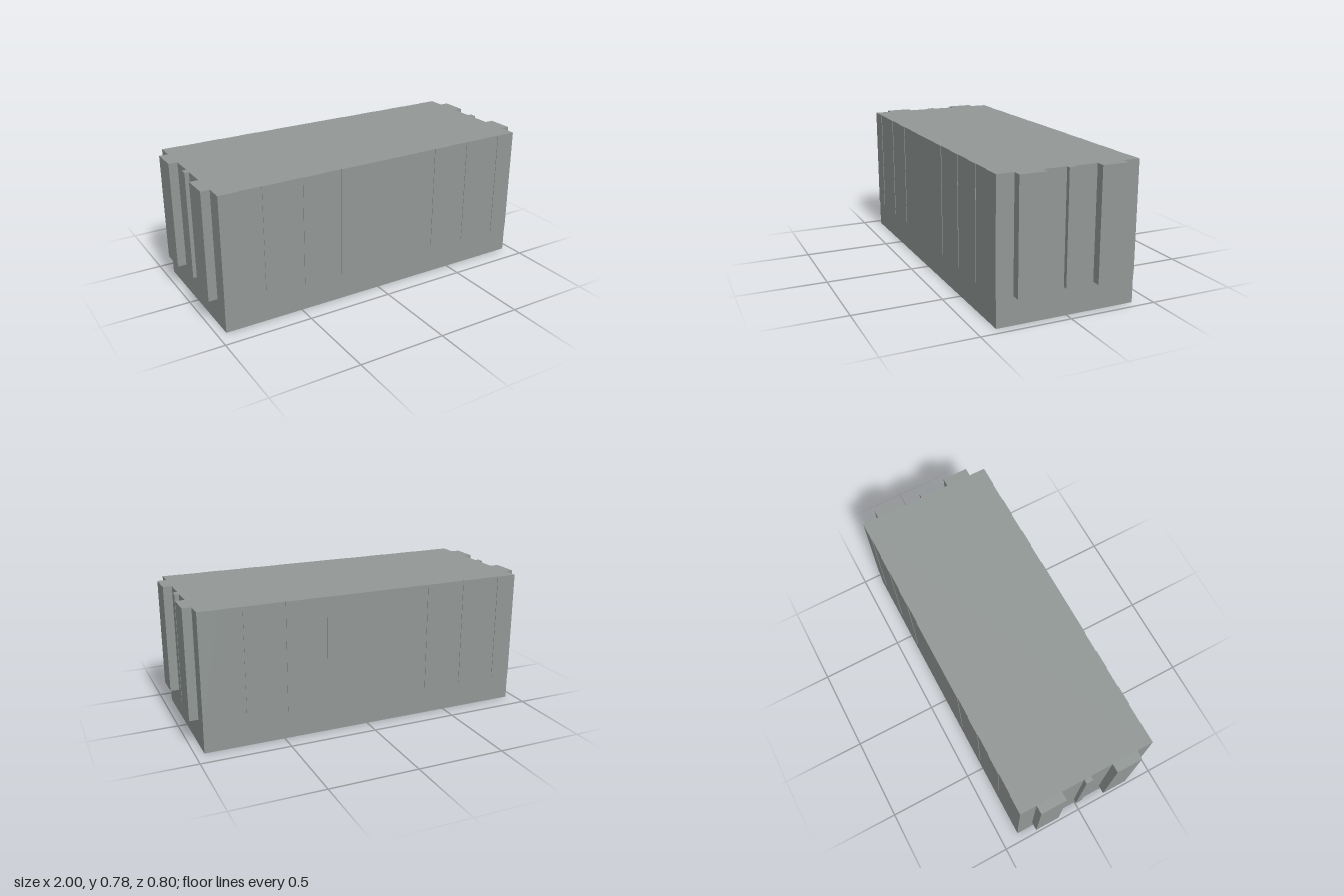
import * as THREE from 'three';

export function createModel() {
  const model = new THREE.Group();
  model.name = 'ribbedCover';
  const grey = new THREE.MeshStandardMaterial({ color: 0x929896 });
  grey.name = 'grey';

  const H = 0.777, X = 0.95, Z = 0.395, T = 0.005; // height, half length, half depth, wall
  const ribBase = 0.156;

  // Box given by its limits on each axis
  function block(name, x0, x1, y0, y1, z0, z1) {
    const mesh = new THREE.Mesh(new THREE.BoxGeometry(x1 - x0, y1 - y0, z1 - z0), grey);
    mesh.position.set((x0 + x1) / 2, (y0 + y1) / 2, (z0 + z1) / 2);
    mesh.name = name;
    model.add(mesh);
  }

  // Thin walls, open at the bottom
  const outline = new THREE.Shape([
    new THREE.Vector2(-X, -Z), new THREE.Vector2(X, -Z),
    new THREE.Vector2(X, Z), new THREE.Vector2(-X, Z),
  ]);
  outline.holes.push(new THREE.Path([
    new THREE.Vector2(-X + T, -Z + T), new THREE.Vector2(-X + T, Z - T),
    new THREE.Vector2(X - T, Z - T), new THREE.Vector2(X - T, -Z + T),
  ]));
  const wallGeometry = new THREE.ExtrudeGeometry(outline, { depth: H - T, bevelEnabled: false });
  wallGeometry.rotateX(-Math.PI / 2);
  const walls = new THREE.Mesh(wallGeometry, grey);
  walls.name = 'walls';
  model.add(walls);

  block('roof', -X, X, H - T, H, -Z, Z);

  // Vertical ribs on both ends; the narrow one passes through the wall
  for (const s of [-1, 1]) {
    const rib = (name, a, b, z0, z1) =>
      block(name, Math.min(s * a, s * b), Math.max(s * a, s * b), ribBase, H, z0, z1);
    rib('wideEndRib', X - T / 2, 1, 0.152, 0.302);
    rib('wideEndRib', X - T / 2, 1, -0.302, -0.152);
    rib('narrowEndRib', 0.918, 0.975, -0.02, 0.02);
  }

  // Barely raised panels on the long sides, with shallow recesses between
  const spans = [[-X, -0.834], [-0.711, -0.6], [-0.478, -0.37], [-0.246, 0.246],
    [0.37, 0.478], [0.6, 0.711], [0.834, X]];
  for (const s of [-1, 1]) {
    for (const [a, b] of spans) {
      const inner = s * (Z - T / 2), outer = s * (Z + 0.003);
      block('sidePanel', a, b, ribBase, H, Math.min(inner, outer), Math.max(inner, outer));
    }
  }

  return model;
}
